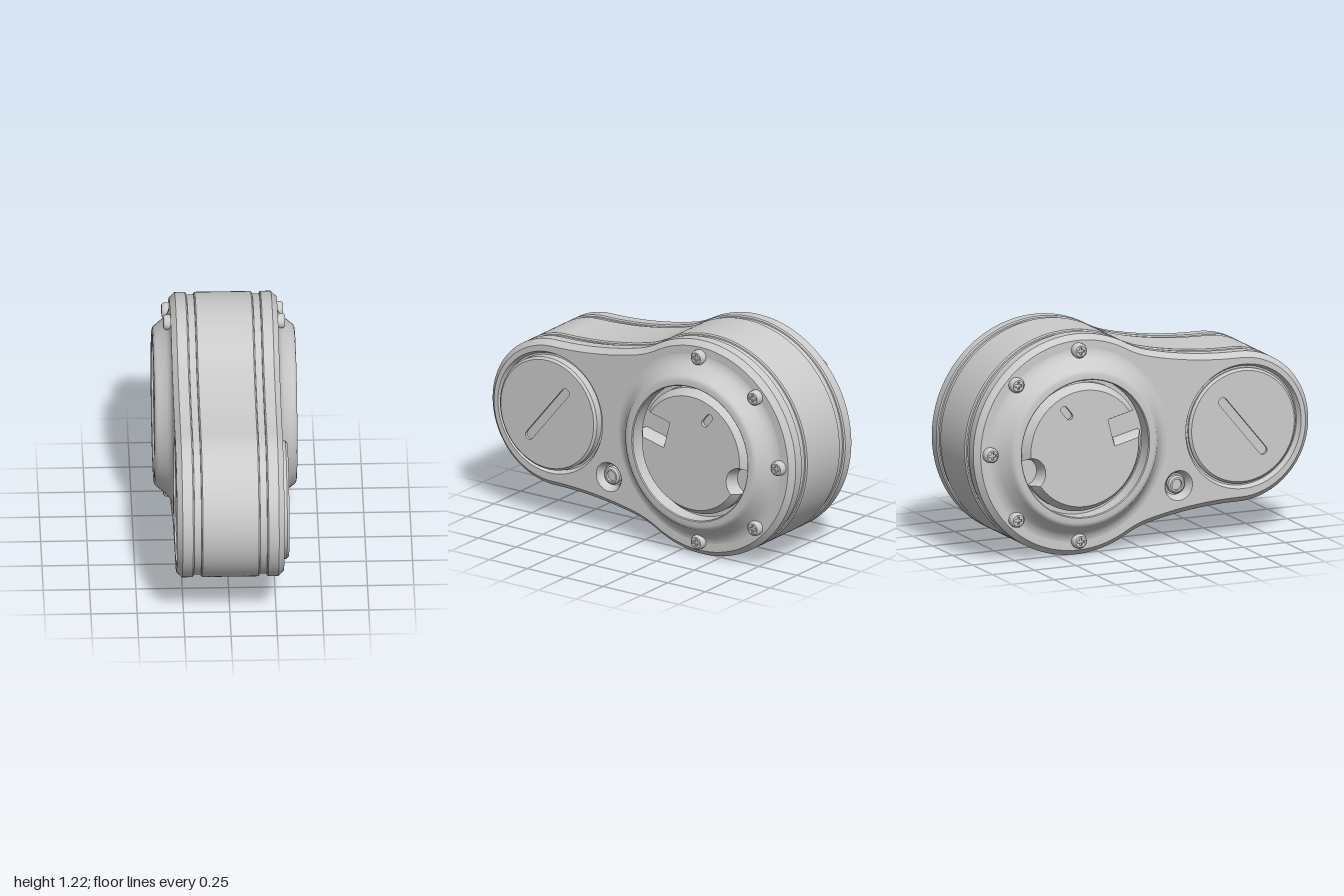
import * as THREE from 'three';
import { toCreasedNormals, mergeGeometries } from 'three/addons/utils/BufferGeometryUtils.js';

const MID = 0.612;                      // height of both hub centres
const BIG = [0.389, MID], SMALL = [-0.6, MID + 0.004], BOLT = [-0.213, 0.327];
const material = new THREE.MeshStandardMaterial({ color: 0xcccccc });
const V = (x, y) => new THREE.Vector2(x, y);

// Outlines are counter-clockwise points in a side plane (u = -z, v = y).
function inset(pts, d) {
  return pts.map((p, i) => {
    const a = pts[(i + pts.length - 1) % pts.length], b = pts[(i + 1) % pts.length];
    const t = V(b.x - a.x, b.y - a.y).normalize();
    return V(p.x - t.y * d, p.y + t.x * d);
  });
}

// Skin through rings of [outline, height], all with the same number of points
function loft(rings) {
  const pos = [], index = [], n = rings[0][0].length;
  rings.forEach(([pts, h], r) => {
    pts.forEach((p, j) => {
      pos.push(p.x, p.y, h);
      if (r === 0) return;
      const k = (j + 1) % n, lo = (r - 1) * n, hi = r * n;
      index.push(lo + j, lo + k, hi + k, lo + j, hi + k, hi + j);
    });
  });
  const g = new THREE.BufferGeometry();
  g.setAttribute('position', new THREE.Float32BufferAttribute(pos, 3));
  g.setIndex(index);
  return g;
}

function cap(pts, h, holes = []) {
  const shape = new THREE.Shape(pts);
  shape.holes = holes.map((p) => new THREE.Path(p));
  return new THREE.ShapeGeometry(shape).translate(0, 0, h);
}

// Solid plate with a profiled edge and one pocket sunk into its face
function plate(rings, pocket, depth) {
  const [top, h] = rings[rings.length - 1];
  return [
    loft(rings), cap(top, h, [pocket]),
    loft([[pocket, h], [pocket, h - depth]]), cap(pocket, h - depth),
  ];
}

const lathe = (profile, segs = 72) =>
  new THREE.LatheGeometry(profile.map(([r, h]) => V(r, h)), segs).rotateX(Math.PI / 2);

function circle(r, n = 64, [cx, cy] = [0, 0]) {
  return Array.from({ length: n }, (_, i) => {
    const a = (i / n) * Math.PI * 2;
    return V(cx + r * Math.cos(a), cy + r * Math.sin(a));
  });
}

const discRings = (n, profile) => profile.map(([r, h]) => [circle(r, n), h]);

function slot(cx, cy, span, width, angle) {
  const pts = [];
  for (let i = 0; i < 18; i++) {
    const a = angle - Math.PI / 2 + (i % 9) * Math.PI / 8 + (i < 9 ? 0 : Math.PI);
    const s = (i < 9 ? 1 : -1) * span / 2;
    pts.push(V(cx + s * Math.cos(angle) + width / 2 * Math.cos(a),
      cy + s * Math.sin(angle) + width / 2 * Math.sin(a)));
  }
  return pts;
}

// Plus-shaped driver recess
function cross(l, w) {
  const pts = [];
  for (let i = 0; i < 4; i++) {
    for (const [x, y] of [[l, -w], [l, w], [w, w]]) {
      pts.push(V(x, y).rotateAround(V(0, 0), i * Math.PI / 2));
    }
  }
  return pts;
}

// Outline of the two joined hubs: upper half, then its mirror
function bodyOutline() {
  const s = new THREE.Path();
  s.absarc(BIG[0], MID, 0.611, 0, 2.1, false);
  s.quadraticCurveTo(0.02, 1.107, -0.04, 1.092);
  s.quadraticCurveTo(-0.3, 1.028, -0.585, 1.028);
  s.absarc(-0.585, MID, 0.416, Math.PI / 2, Math.PI, false);
  const top = s.getPoints(32);
  const low = top.slice(1, -1).reverse().map((p) => V(p.x, 2 * MID - p.y));
  return [...top, ...low];
}

// Round cover with a square and a round notch; d shrinks the rim and widens the notches
function coverOutline(d) {
  const R = 0.355 - d, c = V(0.325, -0.115), r = 0.075 + 0.5 * d;
  const reach = c.length(), phi = c.angle() - 2 * Math.PI;
  const half = Math.acos((R * R + reach * reach - r * r) / (2 * R * reach));
  const p1 = V(-0.155 + 0.5 * d, 0.132 + 0.43 * d), p2 = V(-0.193 + 0.43 * d, 0.02 - 0.77 * d);
  const dir = V(Math.cos(2.9), Math.sin(2.9));
  // angle at which a notch side leaves the rim
  const exit = (p) => {
    const b = p.dot(dir);
    return p.clone().addScaledVector(dir, -b + Math.sqrt(b * b - p.lengthSq() + R * R)).angle();
  };
  const onRim = (a) => V(R * Math.cos(a), R * Math.sin(a));
  const arc = (o, rad, a0, a1, n) => Array.from({ length: n + 1 }, (_, i) => {
    const a = a0 + (a1 - a0) * i / n;
    return V(o.x + rad * Math.cos(a), o.y + rad * Math.sin(a));
  });
  const lowEnd = onRim(phi - half).sub(c).angle(), highEnd = onRim(phi + half).sub(c).angle();
  return [
    ...arc(V(0, 0), R, phi + half, exit(p1), 36), p1, p2,
    ...arc(V(0, 0), R, exit(p2), phi - half + 2 * Math.PI, 36),
    ...arc(c, r, lowEnd, highEnd, 20).slice(1, -1),
  ];
}

export function createModel() {
  const group = new THREE.Group();

  // Merge pieces, mirror for the right side, and turn the side plane to face x
  function add(name, pieces, [cx, cy] = [0, 0], side = 1) {
    const flat = pieces.map((p) => {
      const g = p.toNonIndexed();
      for (const key of Object.keys(g.attributes)) if (key !== 'position') g.deleteAttribute(key);
      return g;
    });
    const g = mergeGeometries(flat).translate(cx, cy, 0);
    if (side < 0) {
      const p = g.attributes.position, a = new THREE.Vector3(), b = new THREE.Vector3();
      g.scale(1, 1, -1);
      for (let i = 0; i < p.count; i += 3) {
        a.fromBufferAttribute(p, i);
        b.fromBufferAttribute(p, i + 2);
        p.setXYZ(i, b.x, b.y, b.z);
        p.setXYZ(i + 2, a.x, a.y, a.z);
      }
    }
    const mesh = new THREE.Mesh(toCreasedNormals(g, 0.5).rotateY(Math.PI / 2), material);
    mesh.name = name;
    group.add(mesh);
  }

  // Housing wall with chamfered rims and two bevelled grooves
  const outline = bodyOutline();
  const half = [[0.03, 0.29], [0, 0.26], [0, 0.204], [0.007, 0.197], [0.014, 0.196],
    [0.014, 0.159], [0.007, 0.158], [0, 0.151]];
  const wall = [...half.map(([d, h]) => [d, -h]), ...half.slice().reverse()];
  add('housingWall', [loft(wall.map(([d, h]) => [inset(outline, d), h]))]);

  for (const side of [1, -1]) {
    const tag = side > 0 ? 'left' : 'right';

    // Side face with openings for the small cap and the sunk bolt
    add(tag + 'Face', [cap(inset(outline, 0.03), 0.29,
      [circle(0.345, 72, SMALL), circle(0.083, 32, BOLT)])], [0, 0], side);

    // Flared dome with a rounded lip around the large recess
    add(tag + 'Dome', [lathe([[0.55, 0.288], [0.525, 0.291], [0.502, 0.299], [0.482, 0.315],
      [0.46, 0.34], [0.443, 0.36], [0.435, 0.372], [0.425, 0.381], [0.412, 0.385], [0.384, 0.385],
      [0.379, 0.38], [0.379, 0.295], [0, 0.295]], 96)], BIG, side);

    // Notched cover inside the dome, almost level with its lip
    const rim = [[0, 0.29], [0, 0.33], [0.033, 0.376]];
    add(tag + 'Cover', plate(rim.map(([d, h]) => [coverOutline(d), h]),
      slot(0.107, 0.207, 0.05, 0.04, 0.88), 0.02), BIG, side);

    // Small slotted cap: raised on the left, nearly flush on the right
    const h = side > 0 ? 0.318 : 0.284;
    add(tag + 'CapRecess', [lathe([[0.345, 0.29], [0.33, 0.262], [0, 0.262]])], SMALL, side);
    add(tag + 'Cap', plate(discRings(72, [[0.32, 0.255], [0.32, h - 0.012], [0.307, h]]),
      slot(0, 0, 0.375, 0.05, 0.88), 0.015), SMALL, side);

    // Sunk bolt in a countersunk hole
    add(tag + 'BoltHole', [lathe([[0.083, 0.29], [0.073, 0.28], [0.06, 0.24], [0, 0.24]], 32)], BOLT, side);
    add(tag + 'Bolt', plate(discRings(32, [[0.05, 0.235], [0.05, 0.262], [0.04, 0.272]]),
      circle(0.03, 24), 0.015), BOLT, side);

    // Five rim screws
    for (let i = 0; i < 5; i++) {
      const a = (i - 2) * Math.PI / 4;
      add(tag + 'Screw' + (i + 1),
        plate(discRings(24, [[0.041, 0.28], [0.041, 0.315], [0.038, 0.322], [0.031, 0.328]]),
          cross(0.022, 0.007), 0.012),
        [BIG[0] + 0.528 * Math.cos(a), MID + 0.528 * Math.sin(a)], side);
    }
  }
  return group;
}
